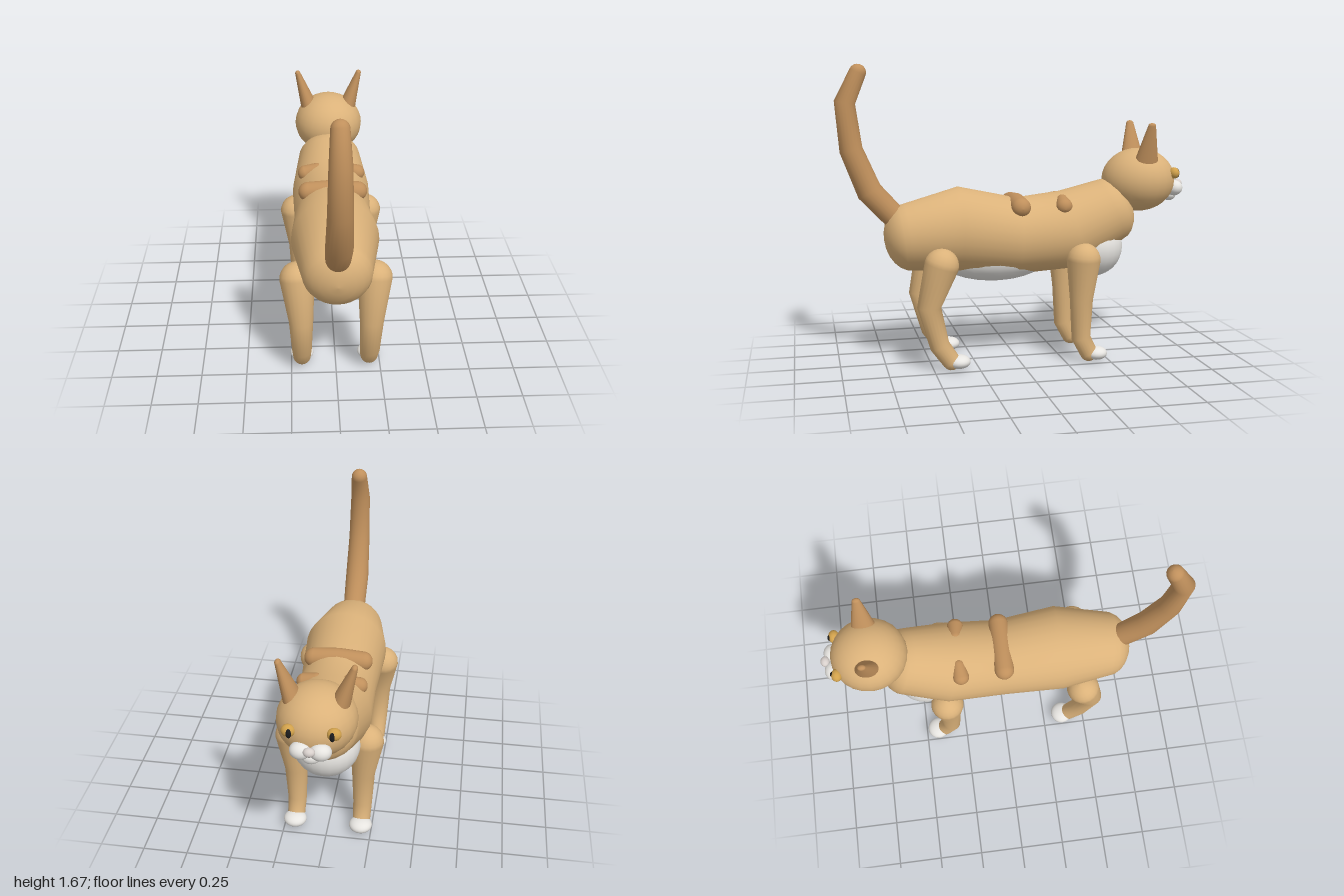
import * as THREE from 'three';

const mat = (name, color) => {
  const m = new THREE.MeshStandardMaterial({ color });
  m.name = name;
  return m;
};

// Rounded tube through stations [x, y, z, radius]; cap = end roundness, flat = second-axis scale
function loft(stations, { cap = 1, flat = 1, sides = 20 } = {}) {
  const pts = stations.map(([x, y, z]) => new THREE.Vector3(x, y, z));
  const n = pts.length;
  const dir = (a, b) => pts[b].clone().sub(pts[a]).normalize();
  const rings = [];
  for (let i = 0; i < n; i++) {
    const t = new THREE.Vector3();
    if (i > 0) t.add(dir(i - 1, i));
    if (i < n - 1) t.add(dir(i, i + 1));
    t.normalize();
    const r = stations[i][3];
    const add = (offset, k) => rings.push({ c: pts[i].clone().addScaledVector(t, offset * r * cap), t, r: r * k });
    const steps = 6;
    if (i === 0) {
      for (let k = 0; k < steps; k++) {
        const a = (k / steps) * Math.PI / 2;
        add(-Math.cos(a), Math.sin(a));
      }
    }
    add(0, 1);
    if (i === n - 1) {
      for (let k = 1; k <= steps; k++) {
        const a = (k / steps) * Math.PI / 2;
        add(Math.sin(a), Math.cos(a));
      }
    }
  }
  const pos = [], idx = [];
  for (const { c, t, r } of rings) {
    const ref = Math.abs(t.x) > 0.7 ? new THREE.Vector3(0, 0, 1) : new THREE.Vector3(1, 0, 0);
    const u = ref.addScaledVector(t, -ref.dot(t)).normalize();
    const v = t.clone().cross(u);
    for (let j = 0; j < sides; j++) {
      const a = (j / sides) * Math.PI * 2;
      const p = c.clone().addScaledVector(u, Math.cos(a) * r).addScaledVector(v, Math.sin(a) * r * flat);
      pos.push(p.x, p.y, p.z);
    }
  }
  for (let i = 0; i < rings.length - 1; i++) {
    for (let j = 0; j < sides; j++) {
      const a = i * sides + j, b = i * sides + (j + 1) % sides;
      idx.push(a, b, b + sides, a, b + sides, a + sides);
    }
  }
  const g = new THREE.BufferGeometry();
  g.setAttribute('position', new THREE.Float32BufferAttribute(pos, 3));
  g.setIndex(idx);
  g.computeVertexNormals();
  return g;
}

export function createModel() {
  const model = new THREE.Group();
  model.name = 'cat';
  const fur = mat('tan fur', 0xdbb27a);
  const dark = mat('brown fur', 0xc0905c);
  const white = mat('white fur', 0xe6e4e0);
  const amber = mat('amber eye', 0xd2a24c);
  const black = mat('dark pupil', 0x1c1c1c);
  const nosePink = mat('pale nose', 0xd8d0cc);

  const part = (name, geo, m) => {
    const mesh = new THREE.Mesh(geo, m);
    mesh.name = name;
    model.add(mesh);
    return mesh;
  };
  const ball = (name, m, [x, y, z], [rx, ry, rz]) => {
    const mesh = part(name, new THREE.SphereGeometry(1, 24, 16), m);
    mesh.position.set(x, y, z);
    mesh.scale.set(rx, ry, rz);
    return mesh;
  };

  // Torso and neck, from rump to throat
  part('body', loft([
    [0, 0.72, 0.61, 0.188],
    [0, 0.755, 0.33, 0.24],
    [0, 0.707, 0, 0.218],
    [0, 0.735, -0.32, 0.228],
    [0, 0.835, -0.55, 0.19],
  ], { cap: 0.72, sides: 28 }), fur);
  ball('belly', white, [0, 0.6, 0.12], [0.165, 0.145, 0.33]);
  ball('chest', white, [0, 0.63, -0.45], [0.185, 0.175, 0.18]);

  // Tail
  part('tail', loft([
    [0, 0.84, 0.69, 0.066],
    [0, 0.98, 0.82, 0.07],
    [0, 1.21, 0.914, 0.063],
    [0, 1.465, 0.943, 0.057],
    [0, 1.625, 0.87, 0.046],
  ]), dark);

  // Head and muzzle
  ball('head', fur, [0, 1.012, -0.73], [0.205, 0.183, 0.212]);
  ball('chin', white, [0, 0.922, -0.922], [0.05, 0.038, 0.042]);
  ball('nose', nosePink, [0, 0.985, -0.975], [0.03, 0.024, 0.025]);

  // Back stripes
  part('saddleStripe', loft([[-0.14, 0.885, 0, 0.055], [0, 0.895, 0, 0.056], [0.14, 0.885, 0, 0.055]]), dark);

  for (const s of [1, -1]) {
    const side = s > 0 ? 'left' : 'right';
    part(side + 'ShoulderStripe', loft([[s * 0.15, 0.887, -0.245, 0.046], [s * 0.085, 0.91, -0.25, 0.035]]), dark);
    part(side + 'Ear', loft([[s * 0.113, 1.1, -0.735, 0.053], [s * 0.186, 1.33, -0.742, 0.016]], { flat: 1.4 }), dark);
    ball(side + 'Cheek', white, [s * 0.05, 0.963, -0.935], [0.055, 0.045, 0.048]);
    ball(side + 'Eye', amber, [s * 0.112, 1.055, -0.908], [0.036, 0.033, 0.03]);
    ball(side + 'Pupil', black, [s * 0.106, 1.053, -0.931], [0.014, 0.026, 0.012]);

    // Legs with white toes
    part(side + 'HindLeg', loft([
      [s * 0.21, 0.59, 0.457, 0.095],
      [s * 0.192, 0.36, 0.525, 0.066],
      [s * 0.19, 0.14, 0.468, 0.055],
      [s * 0.19, 0.05, 0.405, 0.05],
    ]), fur);
    part(side + 'FrontLeg', loft([
      [s * 0.208, 0.59, -0.343, 0.095],
      [s * 0.192, 0.36, -0.337, 0.065],
      [s * 0.19, 0.14, -0.337, 0.054],
      [s * 0.19, 0.05, -0.383, 0.05],
    ]), fur);
    ball(side + 'HindToes', white, [s * 0.19, 0.045, 0.362], [0.066, 0.038, 0.064]);
    ball(side + 'FrontToes', white, [s * 0.19, 0.045, -0.426], [0.066, 0.038, 0.064]);
  }
  return model;
}
